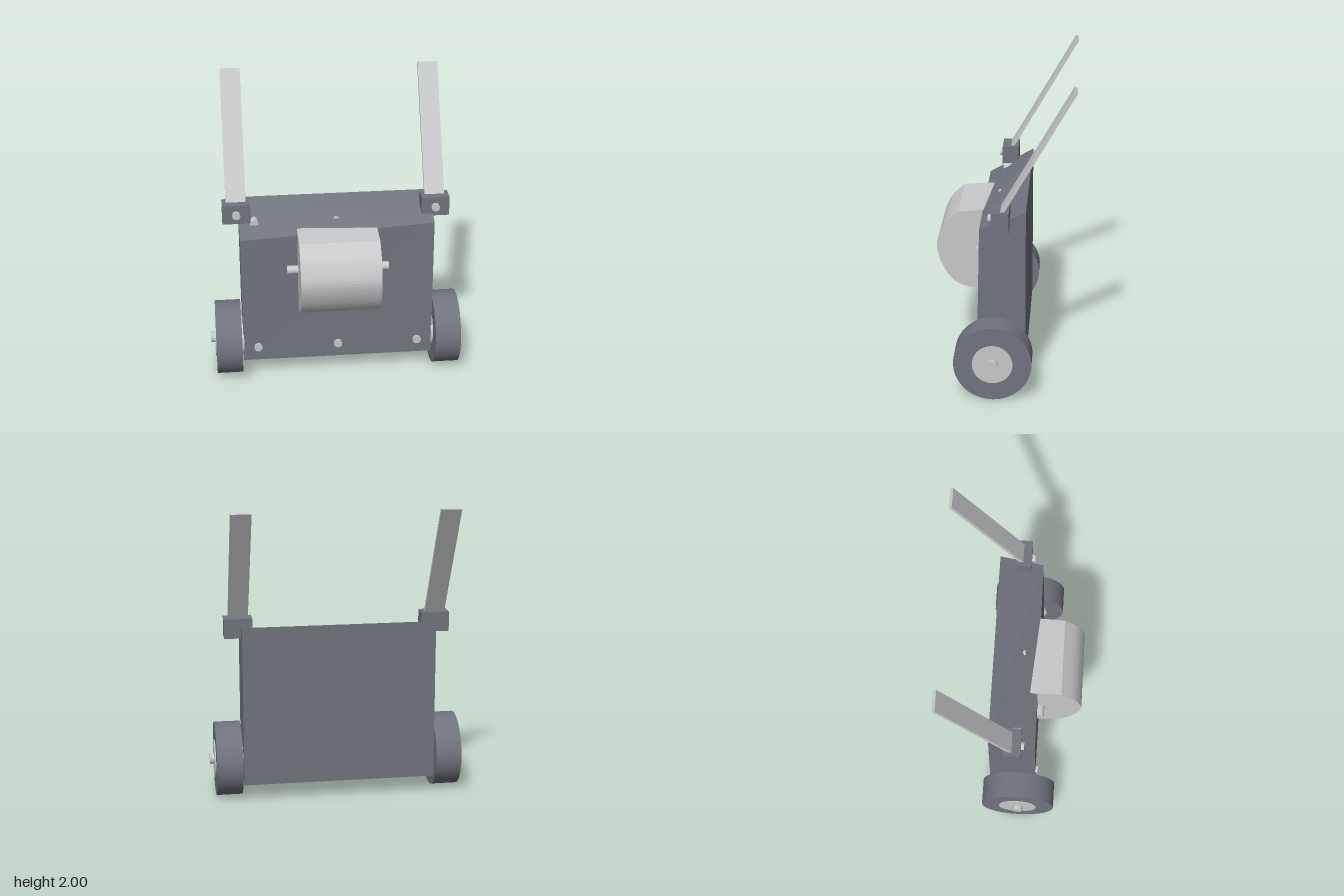
import * as THREE from 'three';

export function createModel() {
  const model = new THREE.Group();
  const dark = new THREE.MeshStandardMaterial({ color: 0x70747d });
  dark.name = 'slate grey';
  const light = new THREE.MeshStandardMaterial({ color: 0xc8c9ca });
  light.name = 'light grey';

  const add = (name, geometry, material, x = 0, y = 0, z = 0) => {
    const mesh = new THREE.Mesh(geometry, material);
    mesh.name = name;
    mesh.position.set(x, y, z);
    model.add(mesh);
    return mesh;
  };
  // Cylinder lying along x, from x0 to x1
  const rodX = (name, r, x0, x1, y, z, material, sides = 32) =>
    add(name, new THREE.CylinderGeometry(r, r, x1 - x0, sides).rotateZ(Math.PI / 2),
      material, (x0 + x1) / 2, y, z);
  // Cylinder lying along z, from z0 to z1
  const rodZ = (name, r, z0, z1, x, y) =>
    add(name, new THREE.CylinderGeometry(r, r, z1 - z0, 24).rotateX(Math.PI / 2),
      light, x, y, (z0 + z1) / 2);

  // Body: slightly skewed slab with a folded sloping top
  const corners = [
    [-0.64, 0.12, 0.167], [0.64, 0.12, 0.167], [0.64, 0.12, -0.145], [-0.64, 0.12, -0.145],
    [-0.64, 1.025, 0.157], [0.64, 1.09, 0.145], [0.64, 1.2, -0.145], [-0.64, 1.2, -0.145],
  ];
  const quads = [
    [0, 1, 5, 4], // front
    [1, 2, 6, 5], // left side
    [2, 3, 7, 6], // back
    [3, 0, 4, 7], // right side
    [5, 6, 7, 4], // top, folded from back right to front left
    [3, 2, 1, 0], // bottom
  ];
  const points = quads.flatMap(([a, b, c, d]) => [a, b, c, a, c, d].flatMap((i) => corners[i]));
  // Top fold runs between corners 5 and 7, matching the a-c diagonal
  const bodyGeometry = new THREE.BufferGeometry();
  bodyGeometry.setAttribute('position', new THREE.Float32BufferAttribute(points, 3));
  bodyGeometry.computeVertexNormals();
  add('body', bodyGeometry, dark);

  // Front drum: rounded profile in z and y, extruded across x
  const profile = new THREE.Shape();
  profile.moveTo(0.04, 0.524);
  profile.lineTo(0.16, 0.524);
  profile.splineThru([
    [0.245, 0.531], [0.33, 0.567], [0.39, 0.637], [0.432, 0.725], [0.451, 0.82],
    [0.432, 0.905], [0.39, 0.983], [0.31, 1.06],
  ].map(([z, y]) => new THREE.Vector2(z, y)));
  profile.lineTo(0.156, 1.073);
  profile.lineTo(0.04, 1.073);
  const drumGeometry = new THREE.ExtrudeGeometry(profile, {
    depth: 0.525, bevelEnabled: false, curveSegments: 4,
  });
  add('drum', drumGeometry, light, 0.26).rotation.y = -Math.PI / 2;
  rodX('drumAxle', 0.028, -0.338, 0.335, 0.805, 0.175, light, 24);

  // Bolts along the bottom and the sloping top
  for (const x of [-0.54, 0, 0.54]) {
    rodZ('lowerBolt', 0.028, 0.1, 0.182, x, 0.22);
    rodZ('upperBolt', 0.028, -0.05, 0.06, x, 1.093);
  }

  for (const side of [-1, 1]) {
    // Wheel with hub and axle end
    const span = (a, b) => (side > 0 ? [a, b] : [-b, -a]);
    rodX('wheel', 0.247, ...span(0.65, 0.822), 0.25, 0.055, dark, 64);
    rodX('hub', 0.128, ...span(0.635, 0.829), 0.25, 0.055, light, 48);
    rodX('wheelAxle', 0.036, ...span(0.6, 0.857), 0.25, 0.055, light, 24);

    // Handle bracket and its bolt
    const x = side * 0.656;
    add('handleBracket', new THREE.BoxGeometry(0.185, 0.13, 0.112), dark, x, 1.17, 0.011);
    rodZ('bracketBolt', 0.027, 0.02, 0.088, x, 1.17);

    // Handle: flat bar leaning back, measured down from its top edge
    const bar = new THREE.BoxGeometry(0.132, 0.93, 0.022).translate(0, -0.465, -0.011);
    add('handle', bar, light, x, 2, -0.432).rotation.x = -Math.PI / 6;
  }
  return model;
}
